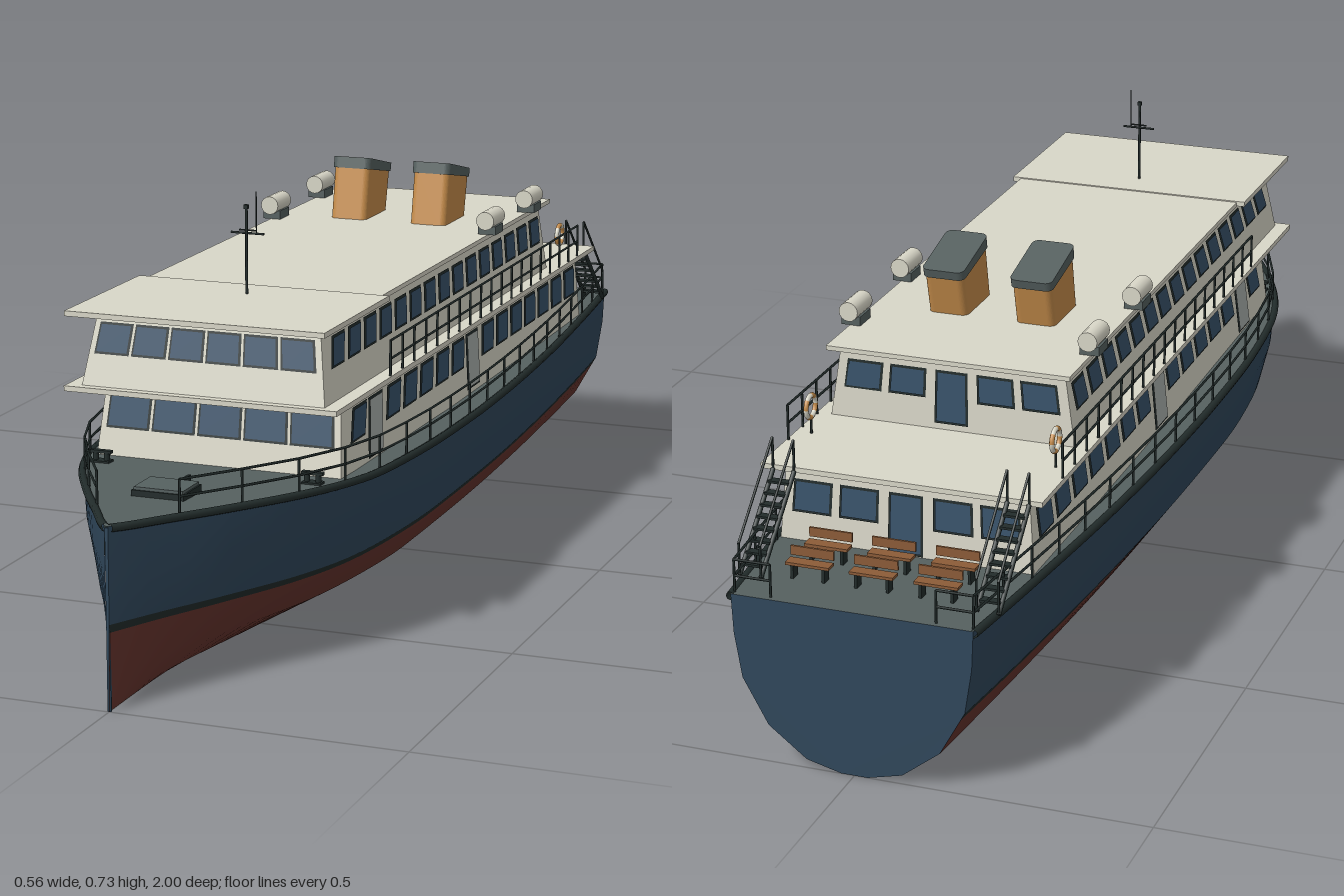
import * as THREE from 'three';
import { mergeGeometries } from 'three/addons/utils/BufferGeometryUtils.js';

const mat = (name, color) => Object.assign(new THREE.MeshStandardMaterial({ color }), { name });
const V = (x, y, z) => new THREE.Vector3(x, y, z);

// Linear lookup in a list of [z, value] points
const lookup = (pts, z) => {
  let i = 0;
  while (i < pts.length - 2 && z > pts[i + 1][0]) i++;
  const [a, b] = [pts[i], pts[i + 1]];
  return a[1] + (b[1] - a[1]) * (z - a[0]) / (b[0] - a[0]);
};
const beamPts = new THREE.SplineCurve([[-1, 0.205], [-0.8, 0.225], [-0.5, 0.25], [-0.2, 0.267], [0.1, 0.273], [0.3, 0.27],
  [0.5, 0.251], [0.65, 0.205], [0.8, 0.125], [0.9, 0.063], [1, 0.003]].map(p => new THREE.Vector2(...p)))
  .getPoints(50).map(p => [p.x, p.y]);
const beam = z => lookup(beamPts, z);
const deckY = z => lookup([[-1, 0.287], [-0.5, 0.281], [0, 0.279], [0.5, 0.285], [1, 0.303]], z);

// Surface through rows of points
function loft(rows) {
  const n = rows[0].length, idx = [];
  for (let r = 0; r < rows.length - 1; r++) for (let c = 0; c < n - 1; c++) {
    const a = r * n + c, b = a + n;
    idx.push(a, a + 1, b, a + 1, b + 1, b);
  }
  const g = new THREE.BufferGeometry().setFromPoints(rows.flat());
  g.setIndex(idx);
  g.computeVertexNormals();
  return g;
}

// Thin round bar between two points
function bar(a, b, r = 0.0022) {
  const d = b.clone().sub(a);
  const g = new THREE.CylinderGeometry(r, r, d.length(), 6);
  g.applyQuaternion(new THREE.Quaternion().setFromUnitVectors(V(0, 1, 0), d.normalize()));
  const m = a.clone().add(b).multiplyScalar(0.5);
  return g.translate(m.x, m.y, m.z);
}
// Posts with a top and a middle rail along a path
function railing(path, h) {
  const out = [], up = (p, k) => p.clone().add(V(0, h * k, 0));
  path.forEach((p, i) => {
    out.push(bar(p, up(p, 1)));
    if (i) for (const k of [0.5, 1]) out.push(bar(up(path[i - 1], k), up(p, k)));
  });
  return out;
}
const box = (w, h, d, x, y, z) => new THREE.BoxGeometry(w, h, d).translate(x, y, z);

// House block: [half width, front z, back z] at bottom and top
function house(y0, y1, bot, top) {
  const g = new THREE.BoxGeometry(1, 1, 1), p = g.attributes.position;
  for (let i = 0; i < p.count; i++) {
    const [w, f, b] = p.getY(i) > 0 ? top : bot;
    p.setXYZ(i, Math.sign(p.getX(i)) * w, p.getY(i) > 0 ? y1 : y0, p.getZ(i) > 0 ? f : b);
  }
  g.computeVertexNormals();
  const c = (s, k) => { const a = k ? top : bot; return [V(s * a[0], k ? y1 : y0, a[1]), V(s * a[0], k ? y1 : y0, a[2])]; };
  const wall = (bl, br, tl, tr) => ({ bl, br, tl, tr });
  return {
    geo: g, y0, y1, f: bot[1], b: bot[2],
    front: wall(c(-1, 0)[0], c(1, 0)[0], c(-1, 1)[0], c(1, 1)[0]),
    back: wall(c(1, 0)[1], c(-1, 0)[1], c(1, 1)[1], c(-1, 1)[1]),
    side: wall(c(1, 0)[0], c(1, 0)[1], c(1, 1)[0], c(1, 1)[1]),
  };
}

export function createModel() {
  const M = {
    blue: mat('hull blue', 0x30475b), red: mat('bottom red', 0x68352e), trim: mat('dark trim', 0x222c2b),
    deck: mat('deck grey', 0x566160), cream: mat('cream', 0xd9d7c8), glass: mat('window glass', 0x38526a),
    orange: mat('funnel ochre', 0xc68d4b), wood: mat('bench wood', 0x8c5c38), door: mat('door grey', 0xaab0ac),
  };
  M.deck.side = M.glass.side = M.door.side = M.trim.side = THREE.DoubleSide;
  const ship = new THREE.Group();
  ship.name = 'ferry';
  const add = (name, geo, m) => {
    const mesh = new THREE.Mesh(Array.isArray(geo) ? mergeGeometries(geo) : geo, m);
    mesh.name = name;
    ship.add(mesh);
    return mesh;
  };

  // Hull: frames with flare growing towards the bow
  const zs = Array.from({ length: 61 }, (_, i) => -1 + i / 30);
  const levels = [[0, 0.11], [0.015, 0.4], [0.065, 0.715], [0.13, 0.89], [0.143, 0.925], [0.22, 0.985], [1, 1]];
  const half = (z, i, j, s) => levels.slice(i, j + 1).map(([y, f]) =>
    V(s * beam(z) * f ** (1 + 1.3 * Math.max(0, (z - 0.2) / 0.8) ** 1.5), y === 1 ? deckY(z) : y, z));
  add('hullBottom', loft(zs.map(z => [...half(z, 0, 3, -1).reverse(), ...half(z, 0, 3, 1)])), M.red);
  for (const s of [-1, 1]) {
    const side = (i, j) => loft(zs.map(z => s > 0 ? half(z, i, j, s) : half(z, i, j, s).reverse()));
    add('waterlineStripe', side(3, 4), M.trim);
    add('hullSide', side(4, 6), M.blue);
  }
  const sec = [...half(-1, 0, 6, -1).reverse(), ...half(-1, 0, 6, 1)];
  add('transom', new THREE.ShapeGeometry(new THREE.Shape(sec.map(p => new THREE.Vector2(p.x, p.y))))
    .rotateY(Math.PI).translate(0, 0, -1), M.blue);
  add('stem', box(0.006, 0.3, 0.004, 0, 0.15, 0.997), M.blue);
  add('mainDeck', loft(zs.map(z => [V(beam(z), deckY(z), z), V(-beam(z), deckY(z), z)])), M.deck);
  for (const s of [-1, 1]) add('rubbingStrake', new THREE.TubeGeometry(new THREE.CatmullRomCurve3(
    zs.map(z => V(s * (beam(z) + 0.001), deckY(z) - 0.004, Math.min(z, 0.994)))), 90, 0.007, 8), M.trim);

  // Deckhouses and slabs
  const lower = house(0.272, 0.415, [0.222, 0.565, -0.77], [0.211, 0.537, -0.76]);
  const upper = house(0.42, 0.548, [0.217, 0.625, -0.56], [0.198, 0.595, -0.555]);
  add('lowerDeckhouse', lower.geo, M.cream);
  add('upperDeckhouse', upper.geo, M.cream);
  add('upperDeck', box(0.486, 0.009, 1.43, 0, 0.4175, -0.075), M.cream);
  add('mainRoof', box(0.43, 0.008, 0.94, 0, 0.549, -0.11), M.cream);
  add('bridgeRoof', box(0.46, 0.009, 0.3, 0, 0.5505, 0.51), M.cream);

  // Windows and doors: thin faces laid on the walls
  const faces = { trim: [], glass: [], door: [] };
  const at = (w, u, v, off) => {
    const n = w.br.clone().sub(w.bl).cross(w.tl.clone().sub(w.bl)).normalize();
    return w.bl.clone().lerp(w.br, u).lerp(w.tl.clone().lerp(w.tr, u), v).addScaledVector(n, off);
  };
  const quad = (kind, w, u0, u1, v0, v1, lean, off, mirror) => {
    const [a, b, c, d] = [at(w, u0, v0, off), at(w, u1, v0, off), at(w, u1 + lean, v1, off), at(w, u0 + lean, v1, off)];
    faces[kind].push(a, b, c, a, c, d);
    if (mirror) faces[kind].push(...[a, c, b, a, d, c].map(p => V(-p.x, p.y, p.z)));
  };
  const pane = (kind, w, u0, u1, v0, v1, lean = 0, mirror = false) => {
    const eu = 0.004 / w.bl.distanceTo(w.br), ev = 0.004 / w.bl.distanceTo(w.tl);
    quad('trim', w, u0, u1, v0, v1, lean, 0.002, mirror);
    quad(kind, w, u0 + eu, u1 - eu, v0 + ev, v1 - ev, lean, 0.004, mirror);
  };
  for (const [h, nFront, n, z0, pitch, doors] of [[lower, 5, 15, 0.525, 0.0855, [1, 7]], [upper, 6, 15, 0.592, 0.0762, []]]) {
    const len = h.f - h.b;
    for (let i = 0; i < nFront; i++) pane('glass', h.front, 0.02 + i * 0.96 / nFront + 0.005, 0.02 + (i + 1) * 0.96 / nFront - 0.005, 0.43, 0.84);
    for (let i = 0; i < n; i++) {
      const u = (h.f - z0 + i * pitch) / len, isDoor = doors.includes(i);
      pane(isDoor ? 'door' : 'glass', h.side, u, u + (pitch - 0.016) / len, isDoor ? 0.12 : 0.43, 0.83, isDoor ? 0 : 0.009 / len, true);
    }
    for (const u of [0.04, 0.23, 0.61, 0.8]) pane('glass', h.back, u, u + 0.16, 0.43, 0.83);
    pane('glass', h.back, 0.43, 0.57, 0.1, 0.83);
  }
  for (const [kind, name] of [['trim', 'windowFrames'], ['glass', 'windowPanes'], ['door', 'sideDoors']]) {
    const g = new THREE.BufferGeometry().setFromPoints(faces[kind]);
    g.computeVertexNormals();
    add(name, g, M[kind]);
  }

  // Funnels: rounded blocks raked aft with a sloping top
  const funnelPart = (w, l, y0, y1) => {
    const s = new THREE.Shape(), r = 0.012, a = w / 2, b = l / 2;
    [[a - r, b - r, 0], [r - a, b - r, 1], [r - a, r - b, 2], [a - r, r - b, 3]].forEach(([x, y, k]) =>
      s.absarc(x, y, r, k * Math.PI / 2, (k + 1) * Math.PI / 2));
    const g = new THREE.ExtrudeGeometry(s, { depth: y1 - y0, bevelEnabled: false, curveSegments: 4 }).rotateX(-Math.PI / 2).translate(0, y0, 0);
    const p = g.attributes.position;
    for (let i = 0; i < p.count; i++) {
      const y = p.getY(i), z = p.getZ(i);
      p.setY(i, y + z * 0.24 * y / 0.1);
      p.setZ(i, z - 0.22 * y);
    }
    g.computeVertexNormals();
    return g;
  };
  for (const x of [-0.079, 0.079]) {
    add('funnel', funnelPart(0.07, 0.12, 0, 0.084), M.orange).position.set(x, 0.553, -0.312);
    add('funnelCap', funnelPart(0.075, 0.125, 0.082, 0.1), M.deck).position.set(x, 0.553, -0.312);
  }

  // Life raft canisters and lifebuoys
  for (const s of [-1, 1]) {
    for (const z of [-0.225, -0.455]) {
      add('raftCanister', new THREE.CylinderGeometry(0.017, 0.017, 0.066, 16).rotateX(Math.PI / 2), M.cream).position.set(s * 0.213, 0.58, z);
      add('raftCradle', box(0.034, 0.016, 0.045, s * 0.213, 0.561, z), M.deck);
    }
    for (let k = 0; k < 8; k++) add('lifebuoySegment', new THREE.TorusGeometry(0.019, 0.0045, 8, 4, Math.PI / 4)
      .rotateZ(k * Math.PI / 4).rotateY(Math.PI / 2), k % 2 ? M.cream : M.orange).position.set(s * 0.215, 0.47, -0.648);
    add('lifebuoyStand', [bar(V(s * 0.215, 0.42, -0.648), V(s * 0.215, 0.452, -0.648))], M.trim);
  }

  // Mast with yard and aerial
  add('mast', [bar(V(0, 0.55, 0.43), V(0, 0.705, 0.43), 0.0025), bar(V(-0.03, 0.658, 0.425), V(0.03, 0.658, 0.425), 0.002),
    bar(V(-0.015, 0.663, 0.425), V(0.015, 0.663, 0.425), 0.0015), bar(V(0.016, 0.658, 0.425), V(0.016, 0.73, 0.425), 0.001),
    box(0.007, 0.007, 0.007, 0, 0.704, 0.43)], M.trim);

  // Railings on both decks
  const rails = [];
  for (const s of [-1, 1]) {
    const edge = Array.from({ length: 19 }, (_, i) => -0.99 + i * 1.87 / 18).map(z => V(s * (beam(z) - 0.004), deckY(z), z));
    rails.push(...railing([V(s * 0.14, deckY(-1), -0.99), ...edge], 0.056));
    rails.push(...railing(Array.from({ length: 19 }, (_, i) => V(s * 0.24, 0.42, 0.38 - i * 0.0592)), 0.063));
  }
  add('railings', rails, M.trim);

  // Stern stairs down from the upper deck
  const top = [0.415, -0.79], foot = [0.287, -0.93], stairs = [];
  for (const s of [-1, 1]) {
    for (let i = 1; i < 9; i++) {
      const t = i / 9;
      stairs.push(box(0.036, 0.004, 0.015, s * 0.203, top[0] + (foot[0] - top[0]) * t, top[1] + (foot[1] - top[1]) * t));
    }
    for (const x of [0.184, 0.221]) {
      const a = V(s * x, ...top), b = V(s * x, ...foot), h = V(0, 0.055, 0);
      stairs.push(bar(a, b, 0.004), bar(a.clone().add(h), b.clone().add(h)), bar(a, a.clone().add(h)), bar(b, b.clone().add(h)));
    }
  }
  add('sternStairs', stairs, M.trim);

  // Benches on the stern deck
  for (const z of [-0.83, -0.905]) for (const x of [-0.11, 0, 0.11]) {
    add('benchSeat', [box(0.075, 0.005, 0.022, x, 0.312, z), box(0.075, 0.016, 0.004, x, 0.326, z + 0.013)], M.wood);
    add('benchLegs', [-0.027, 0.027].map(d => box(0.005, 0.026, 0.018, x + d, 0.298, z)), M.trim);
  }

  // Foredeck hatch, windlass and bollards
  add('hatchCoaming', box(0.092, 0.012, 0.072, 0, 0.3, 0.77), M.trim);
  add('hatchLid', box(0.086, 0.006, 0.066, 0, 0.308, 0.77), M.deck);
  add('foredeckBar', box(0.005, 0.012, 0.045, 0, 0.297, 0.7), M.trim);
  for (const s of [-1, 1]) add('bollard', [box(0.034, 0.005, 0.02, s * 0.19, 0.29, 0.61), box(0.038, 0.005, 0.01, s * 0.19, 0.307, 0.61),
    ...[-0.01, 0.01].map(d => bar(V(s * 0.19 + d, 0.287, 0.61), V(s * 0.19 + d, 0.309, 0.61), 0.005))], M.trim);
  return ship;
}
